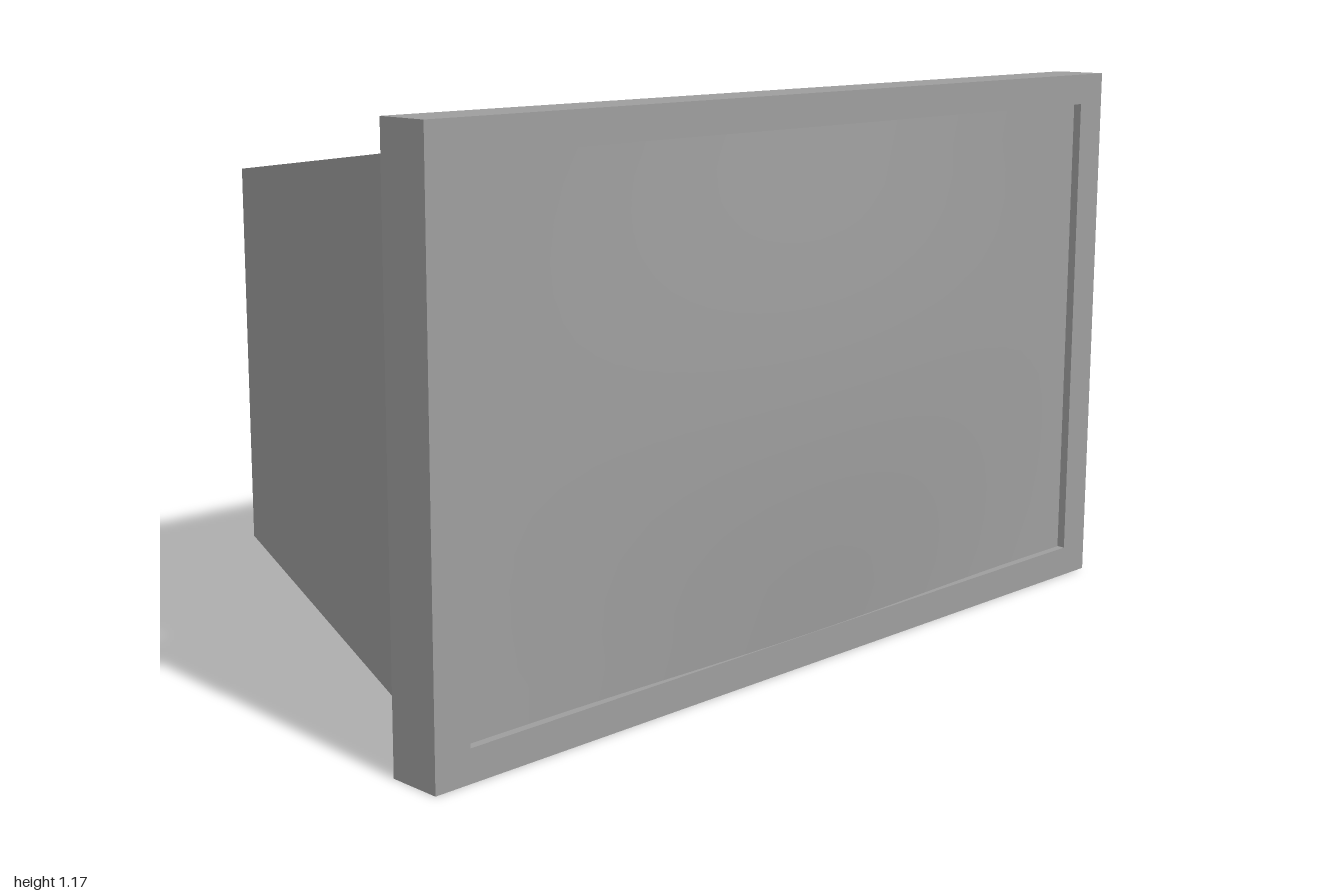
import * as THREE from 'three';

const MID_Y = 0.5875;
const BACK = -0.552, FRAME_BACK = 0.413, FRAME_FRONT = 0.529;
const SCREEN_EDGE = 0.511, BULGE = 0.041, BULGE_RADIUS = 0.92;
const OPEN_W = 1.838, OPEN_H = 1.042;

const material = new THREE.MeshStandardMaterial({ color: 0x9e9e9e });

function rectangle(path, w, h) {
  path.moveTo(-w / 2, -h / 2);
  path.lineTo(w / 2, -h / 2);
  path.lineTo(w / 2, h / 2);
  path.lineTo(-w / 2, h / 2);
  path.closePath();
  return path;
}

// Move each vertex of a geometry by a rule
function reshape(geometry, rule) {
  const p = geometry.attributes.position;
  const v = new THREE.Vector3();
  for (let i = 0; i < p.count; i++) {
    rule(v.fromBufferAttribute(p, i));
    p.setXYZ(i, v.x, v.y, v.z);
  }
  geometry.computeVertexNormals();
  return geometry;
}

export function createModel() {
  const model = new THREE.Group();
  model.name = 'television';
  const add = (name, geometry) => {
    const mesh = new THREE.Mesh(geometry, material);
    mesh.name = name;
    mesh.position.y = MID_Y;
    model.add(mesh);
  };

  // Rear housing: a box narrowing towards the back
  const housing = new THREE.BoxGeometry(FRAME_BACK - BACK, 1.052, 1.85);
  housing.translate((FRAME_BACK + BACK) / 2, 0, 0);
  add('housing', reshape(housing, (v) => {
    if (v.x < 0) {
      v.y *= 0.81 / 1.052;
      v.z *= 1.236 / 1.85;
    }
  }));

  // Rectangular frame around the screen, facing +x
  const outline = rectangle(new THREE.Shape(), 2, MID_Y * 2);
  outline.holes.push(rectangle(new THREE.Path(), OPEN_W, OPEN_H));
  const frame = new THREE.ExtrudeGeometry(outline, {
    depth: FRAME_FRONT - FRAME_BACK, bevelEnabled: false,
  });
  frame.rotateY(Math.PI / 2).translate(FRAME_BACK, 0, 0);
  add('frame', frame);

  // Screen with a soft round bulge that flattens out towards the sides
  const screen = new THREE.PlaneGeometry(OPEN_W, OPEN_H, 24, 16);
  screen.rotateY(Math.PI / 2);
  add('screen', reshape(screen, (v) => {
    const r = Math.min(Math.hypot(v.y, v.z) / BULGE_RADIUS, 1);
    v.x = SCREEN_EDGE + BULGE * (1 + Math.cos(Math.PI * r)) / 2;
  }));

  return model;
}
